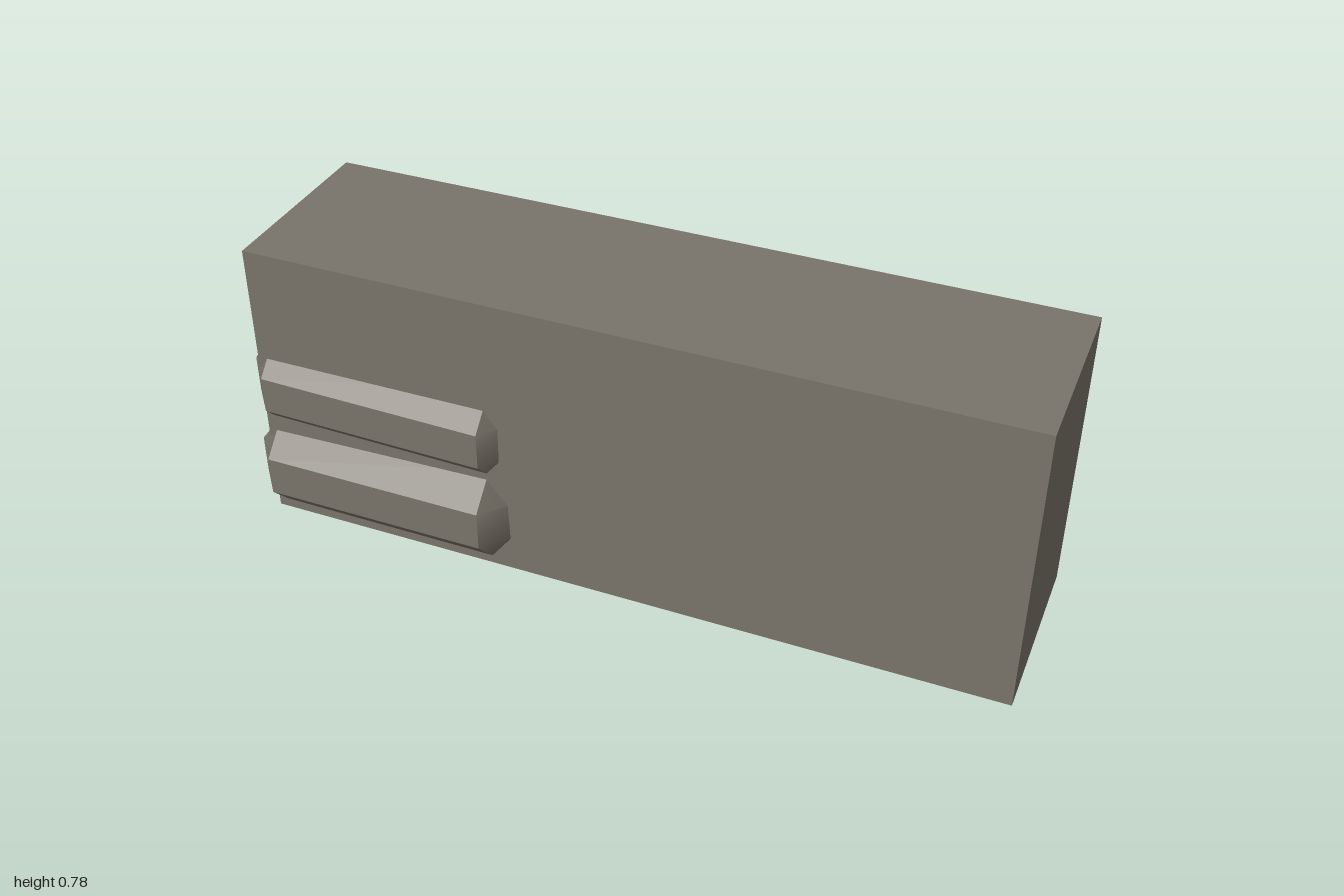
import * as THREE from 'three';
import { ConvexGeometry } from 'three/addons/geometries/ConvexGeometry.js';
import { toCreasedNormals } from 'three/addons/utils/BufferGeometryUtils.js';

// Box with bevelled edges: h = half sizes, c = bevel width per axis
function bevelledBox(h, c) {
  const points = [];
  for (const sx of [-1, 1]) for (const sy of [-1, 1]) for (const sz of [-1, 1]) {
    for (let axis = 0; axis < 3; axis++) {
      // Each corner has three points, one lying on each adjoining face
      const p = h.map((v, i) => (i === axis ? v : v - c[i]));
      points.push(new THREE.Vector3(p[0] * sx, p[1] * sy, p[2] * sz));
    }
  }
  return toCreasedNormals(new ConvexGeometry(points), 0.7);
}

export function createModel() {
  const model = new THREE.Group();
  model.name = 'bandedBlock';
  const stone = new THREE.MeshStandardMaterial({ color: 0x7a746a });
  stone.name = 'warm grey stone';

  // Main block
  const block = new THREE.Mesh(new THREE.BoxGeometry(1.96, 0.772, 0.49), stone);
  block.name = 'block';
  block.position.set(0.02, 0.395, 0);
  model.add(block);

  // Two slightly crooked bevelled bands wrapped round one end
  const bands = [
    { name: 'lowerBand', y: 0.147, z: -0.001, halfY: 0.135, halfZ: 0.306, rot: [-0.015, -0.015, 0.012] },
    { name: 'upperBand', y: 0.39, z: -0.012, halfY: 0.132, halfZ: 0.296, rot: [0.01, -0.012, -0.006] },
  ];
  for (const b of bands) {
    const band = new THREE.Mesh(bevelledBox([0.365, b.halfY, b.halfZ], [0.065, 0.083, 0.078]), stone);
    band.name = b.name;
    band.position.set(-0.632, b.y, b.z);
    band.rotation.set(...b.rot);
    model.add(band);
  }
  return model;
}
